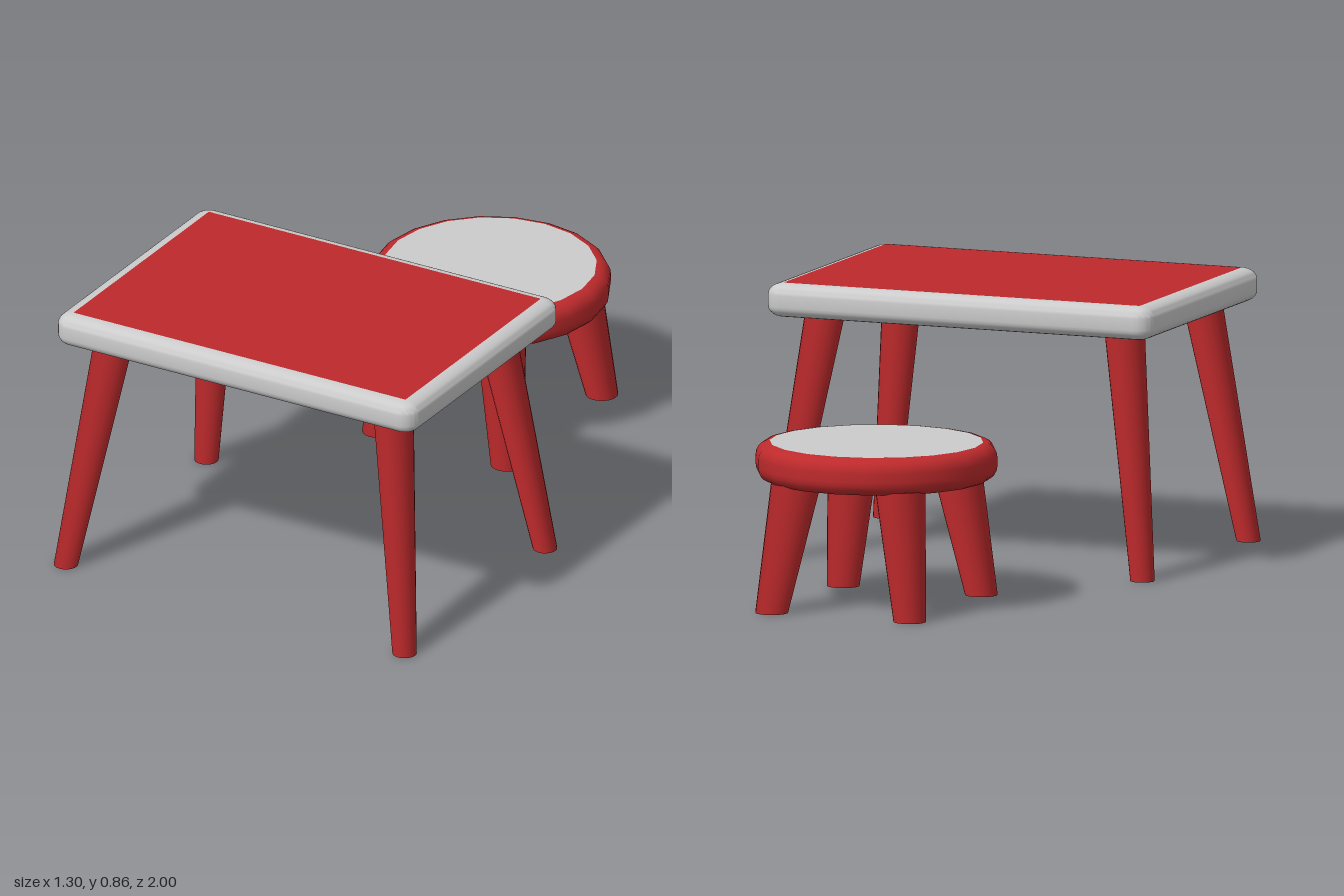
import * as THREE from 'three';
import { toCreasedNormals } from 'three/addons/utils/BufferGeometryUtils.js';

const red = new THREE.MeshStandardMaterial({ color: 0xbe2a2c });
const grey = new THREE.MeshStandardMaterial({ color: 0xcccccc });

function add(parent, name, geometry, material) {
  const mesh = new THREE.Mesh(geometry, material);
  mesh.name = name;
  parent.add(mesh);
  return mesh;
}

// Tapered leg leaning from foot to head, with both ends kept level
function splayedLeg(foot, head, rFoot, rHead, height) {
  const geo = new THREE.CylinderGeometry(rHead, rFoot, height, 20);
  geo.translate(0, height / 2, 0);
  const p = geo.attributes.position;
  for (let i = 0; i < p.count; i++) {
    const t = p.getY(i) / height;
    p.setX(i, p.getX(i) + THREE.MathUtils.lerp(foot[0], head[0], t));
    p.setZ(i, p.getZ(i) + THREE.MathUtils.lerp(foot[1], head[1], t));
  }
  return geo;
}

// Four legs mirrored about the centre of their group
function addLegs(parent, name, foot, head, rFoot, rHead, height) {
  for (const sx of [-1, 1]) for (const sz of [-1, 1]) {
    const geo = splayedLeg([foot[0] * sx, foot[1] * sz], [head[0] * sx, head[1] * sz], rFoot, rHead, height);
    add(parent, `${name}${sz > 0 ? 'Front' : 'Back'}${sx > 0 ? 'Left' : 'Right'}`, geo, red);
  }
}

// Slab with a rounded border; the flat faces are material group 0, the border group 1
function tableTopGeometry(w, d, h, borderWidth, borderRound) {
  const x = w / 2 - borderWidth, y = d / 2 - borderWidth, r = 0.004;
  const shape = new THREE.Shape();
  shape.absarc(x - r, y - r, r, 0, Math.PI / 2);
  shape.absarc(-x + r, y - r, r, Math.PI / 2, Math.PI);
  shape.absarc(-x + r, -y + r, r, Math.PI, Math.PI * 1.5);
  shape.absarc(x - r, -y + r, r, Math.PI * 1.5, Math.PI * 2);
  let geo = new THREE.ExtrudeGeometry(shape, {
    depth: h - 2 * borderRound, curveSegments: 6,
    bevelSize: borderWidth, bevelThickness: borderRound, bevelSegments: 6,
  });
  geo.translate(0, 0, borderRound);
  geo = toCreasedNormals(geo, 0.7);
  // Keep the two flat faces evenly shaded
  const { position, normal } = geo.attributes;
  const caps = geo.groups[0];
  for (let i = caps.start; i < caps.start + caps.count; i++) {
    normal.setXYZ(i, 0, 0, position.getZ(i) > h / 2 ? 1 : -1);
  }
  return geo.rotateX(-Math.PI / 2);
}

function makeTable() {
  const table = new THREE.Group();
  table.name = 'table';
  table.position.set(0, 0, 0.535);
  const top = add(table, 'tableTop', tableTopGeometry(1.294, 0.92, 0.106, 0.049, 0.035), [red, grey]);
  top.position.set(0, 0.755, -0.01);
  addLegs(table, 'tableLeg', [0.61, 0.427], [0.502, 0.312], 0.038, 0.063, 0.765);
  return table;
}

function makeStool() {
  const stool = new THREE.Group();
  stool.name = 'stool';
  stool.position.set(-0.022, 0, -0.624);
  const sides = 20, outer = 0.376, inner = 0.332, low = 0.392, high = 0.51, round = 0.045;

  // Rounded seat rim
  const profile = [];
  for (const [y, start] of [[low + round, -Math.PI / 2], [high - round, 0]]) {
    for (let i = 0; i <= 5; i++) {
      const a = start + (i / 5) * Math.PI / 2;
      profile.push(new THREE.Vector2(inner + (outer - inner) * Math.cos(a), y + round * Math.sin(a)));
    }
  }
  add(stool, 'seatRim', new THREE.LatheGeometry(profile, sides), red);

  // Flat discs closing the seat
  const disc = new THREE.CircleGeometry(inner, sides);
  const cushion = add(stool, 'seatTop', disc, grey);
  cushion.rotation.x = -Math.PI / 2;
  cushion.position.y = high;
  const underside = add(stool, 'seatUnderside', disc, grey);
  underside.rotation.x = Math.PI / 2;
  underside.position.y = low;

  addLegs(stool, 'stoolLeg', [0.232, 0.288], [0.175, 0.228], 0.051, 0.078, 0.402);
  return stool;
}

export function createModel() {
  const model = new THREE.Group();
  model.name = 'tableAndStool';
  model.add(makeTable(), makeStool());
  return model;
}
